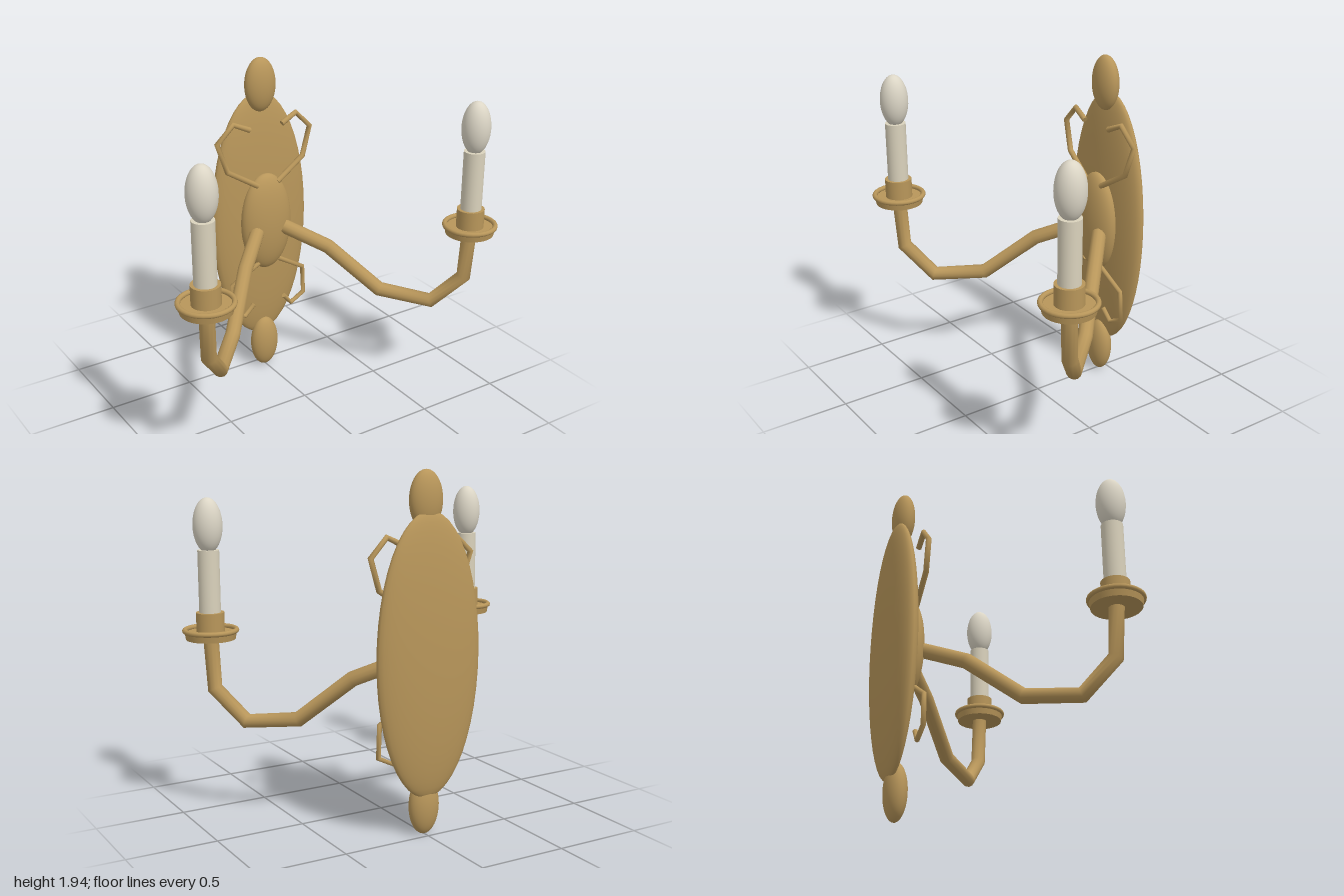
import * as THREE from 'three';

const brass = new THREE.MeshStandardMaterial({ color: 0xb8965a, name: 'brass' });
const candleCream = new THREE.MeshStandardMaterial({ color: 0xdad2bc, name: 'candle cream' });
const bulbWhite = new THREE.MeshStandardMaterial({ color: 0xdcd6c6, name: 'bulb white' });

// Curve that gives a tube one ring per corner point
class Polyline extends THREE.Curve {
  constructor(points) {
    super();
    this.points = points;
  }
  getPointAt(u) {
    return this.points[Math.round(u * (this.points.length - 1))].clone();
  }
  getTangentAt(u) {
    const p = this.points, n = p.length - 1, i = Math.round(u * n);
    const t = new THREE.Vector3();
    if (i > 0) t.add(p[i].clone().sub(p[i - 1]).normalize());
    if (i < n) t.add(p[i + 1].clone().sub(p[i]).normalize());
    return t.normalize();
  }
}

function add(parent, name, geometry, material, x = 0, y = 0, z = 0) {
  const mesh = new THREE.Mesh(geometry, material);
  mesh.name = name;
  mesh.position.set(x, y, z);
  parent.add(mesh);
  return mesh;
}

function ellipsoid(parent, name, material, [x, y, z], [rx, ry, rz]) {
  add(parent, name, new THREE.SphereGeometry(1, 32, 24).scale(rx, ry, rz), material, x, y, z);
}

// Bent rod with capped ends, mirrored by side
function rod(parent, name, coords, radius, side) {
  const points = coords.map(([x, y, z]) => new THREE.Vector3(x * side, y, z));
  const curve = new Polyline(points);
  const group = new THREE.Group();
  group.name = name;
  add(group, name + 'Tube', new THREE.TubeGeometry(curve, points.length - 1, radius, 12), brass);
  for (const u of [0, 1]) {
    const p = curve.getPointAt(u);
    const cap = add(group, name + 'Cap', new THREE.CircleGeometry(radius, 12), brass, p.x, p.y, p.z);
    const out = curve.getTangentAt(u).multiplyScalar(u ? 1 : -1);
    cap.quaternion.setFromUnitVectors(new THREE.Vector3(0, 0, 1), out);
  }
  parent.add(group);
}

// Drip pan, cup, candle sleeve and bulb
function candleHolder(side) {
  const group = new THREE.Group();
  group.name = side > 0 ? 'leftCandle' : 'rightCandle';
  group.position.set(0.84 * side, 0, 0.405);
  add(group, 'dripPan', new THREE.CylinderGeometry(0.142, 0.135, 0.04, 32), brass, 0, 1.022);
  add(group, 'panRim', new THREE.TorusGeometry(0.141, 0.014, 10, 32).rotateX(Math.PI / 2), brass, 0, 1.05);
  add(group, 'cup', new THREE.CylinderGeometry(0.077, 0.077, 0.112, 24), brass, 0, 1.094);
  add(group, 'candleSleeve', new THREE.CylinderGeometry(0.059, 0.059, 0.35, 24), candleCream, 0, 1.315);
  ellipsoid(group, 'bulb', bulbWhite, [0, 1.622, 0], [0.08, 0.15, 0.08]);
  return group;
}

export function createModel() {
  const model = new THREE.Group();
  model.name = 'wallSconce';

  // Wall plate, central boss and finials
  ellipsoid(model, 'backPlate', brass, [0, 0.973, -0.488], [0.31, 0.76, 0.077]);
  ellipsoid(model, 'centreBoss', brass, [0, 0.975, -0.41], [0.162, 0.295, 0.08]);
  ellipsoid(model, 'topFinial', brass, [0, 1.785, -0.452], [0.095, 0.155, 0.061]);
  ellipsoid(model, 'bottomFinial', brass, [0, 0.16, -0.452], [0.088, 0.16, 0.061]);

  const arm = [
    [0.09, 0.94, -0.36], [0.28, 0.83, -0.18], [0.495, 0.585, 0.04],
    [0.7, 0.55, 0.265], [0.83, 0.725, 0.39], [0.84, 1.01, 0.405],
  ];
  const upperScroll = [
    [0.065, 1.215, -0.385], [0.248, 1.33, -0.405], [0.303, 1.5, -0.415],
    [0.203, 1.6, -0.405], [0.105, 1.555, -0.395],
  ];
  const lowerScroll = [
    [0.065, 0.73, -0.385], [0.243, 0.62, -0.4], [0.253, 0.445, -0.405],
    [0.16, 0.398, -0.4], [0.105, 0.465, -0.39],
  ];

  // Paired arms, scrolls and candles
  for (const side of [1, -1]) {
    const label = side > 0 ? 'left' : 'right';
    rod(model, label + 'Arm', arm, 0.042, side);
    rod(model, label + 'UpperScroll', upperScroll, 0.016, side);
    rod(model, label + 'LowerScroll', lowerScroll, 0.014, side);
    model.add(candleHolder(side));
  }
  return model;
}
